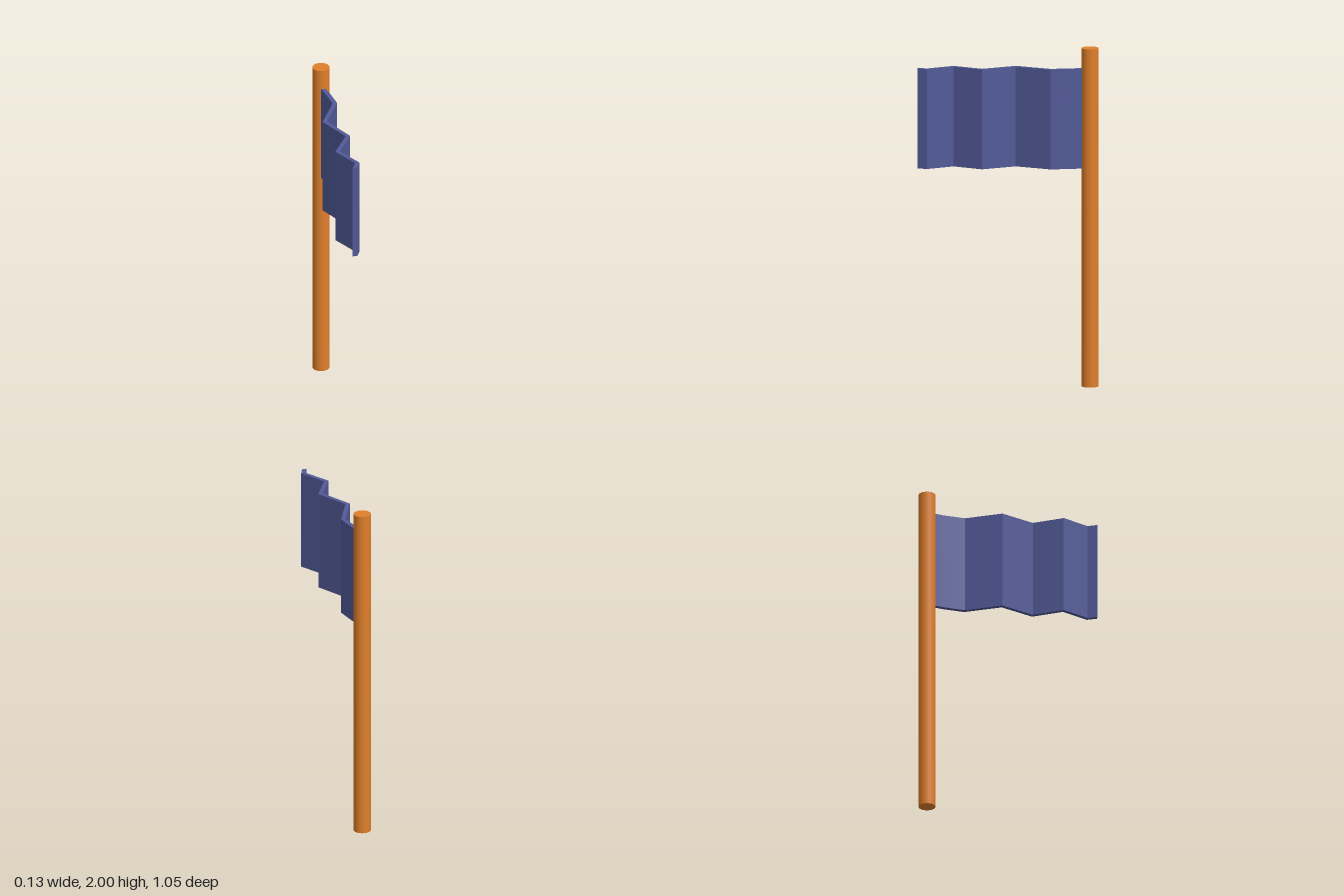
import * as THREE from 'three';
import { toCreasedNormals } from 'three/addons/utils/BufferGeometryUtils.js';

export function createModel() {
  const model = new THREE.Group();
  model.name = 'flag';

  // Round pole
  const pole = new THREE.Mesh(
    new THREE.CylinderGeometry(0.05, 0.05, 2, 32),
    new THREE.MeshStandardMaterial({ color: 0xe07f2b })
  );
  pole.name = 'pole';
  pole.position.set(0.006, 1, -0.479);
  model.add(pole);

  // Zigzag centre line of the cloth, as [x, z]
  const folds = [
    [0, -0.46], [0.023, -0.387], [0.045, -0.251], [-0.052, -0.046],
    [0.048, 0.148], [-0.045, 0.316], [0.043, 0.47], [0.019, 0.525],
  ];
  const half = 0.0135;
  const side = (s) => folds.map(([x, z]) => new THREE.Vector2(x + s * half, -z));
  const outline = new THREE.Shape([...side(-1), ...side(1).reverse()]);

  // Cloth: the folded strip extruded upwards
  const height = 0.59;
  const clothGeometry = new THREE.ExtrudeGeometry(outline, { depth: height, bevelEnabled: false });
  clothGeometry.rotateX(-Math.PI / 2);
  const cloth = new THREE.Mesh(
    toCreasedNormals(clothGeometry, 0.5),
    new THREE.MeshStandardMaterial({ color: 0x525a98 })
  );
  cloth.name = 'cloth';
  cloth.position.y = 1.29;
  model.add(cloth);

  return model;
}
